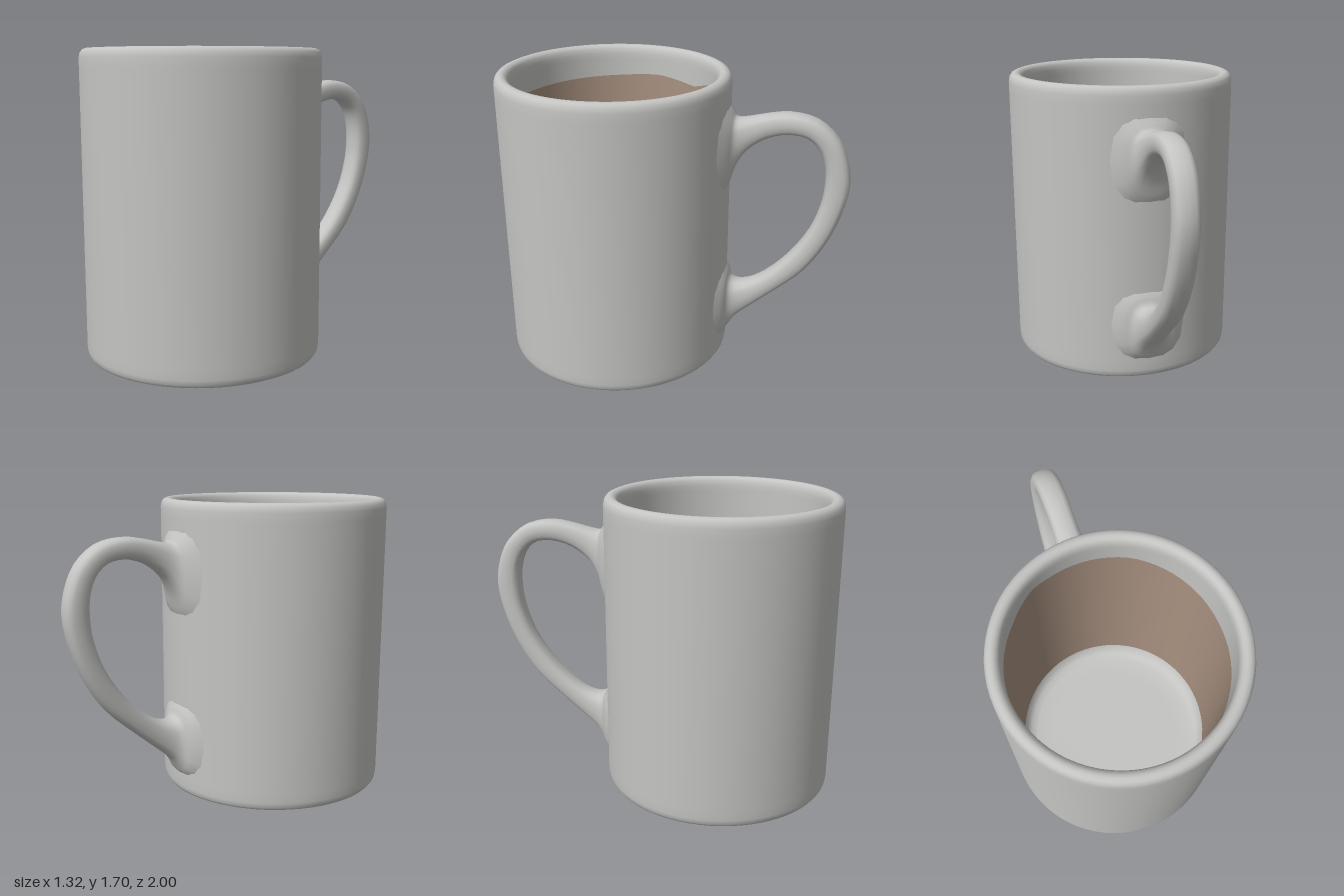
import * as THREE from 'three';

const BODY_Z = 0.34; // axis of the cup, shifted forward to balance the handle
const INNER_R = 0.578;
const SEGMENTS = 72;

// Height of the drink stain on the inner wall: [degrees from +z towards +x, y]
const STAIN = [[0, 1.5], [31, 1.45], [51, 1.4], [94, 1.42], [153, 1.515], [179, 1.52], [199, 1.53],
  [211, 1.56], [231, 1.5], [258, 1.53], [282, 1.515], [333, 1.5], [360, 1.5]];

function stainHeight(deg) {
  const k = Math.max(1, STAIN.findIndex(p => p[0] >= deg - 1e-6));
  const [a, ya] = STAIN[k - 1], [b, yb] = STAIN[k];
  return THREE.MathUtils.lerp(ya, yb, (deg - a) / (b - a));
}

function lathe(points) {
  return new THREE.LatheGeometry(points.map(p => new THREE.Vector2(...p)), SEGMENTS);
}

// Inner wall band whose vertex row `row` follows the stain line
function wallBand(yStart, yEnd, row) {
  const geometry = lathe([[INNER_R, yStart], [INNER_R, yEnd]]);
  const pos = geometry.attributes.position;
  for (let i = 0; i <= SEGMENTS; i++) pos.setY(i * 2 + row, stainHeight(i * 360 / SEGMENTS));
  return geometry;
}

// Handle sections: outer z, outer y, inner z, inner y, half width
const HANDLE = [
  [-0.28, 1.60, -0.28, 1.00, 0.22], [-0.335, 1.51, -0.325, 1.08, 0.15],
  [-0.36, 1.475, -0.36, 1.19, 0.105], [-0.42, 1.48, -0.42, 1.29, 0.08],
  [-0.53, 1.505, -0.53, 1.37, 0.07], [-0.65, 1.52, -0.65, 1.40, 0.07],
  [-0.80, 1.49, -0.75, 1.385, 0.07], [-0.92, 1.39, -0.82, 1.32, 0.07],
  [-0.98, 1.26, -0.855, 1.22, 0.07], [-1.0, 1.13, -0.86, 1.10, 0.07],
  [-0.975, 0.97, -0.845, 0.99, 0.07], [-0.90, 0.77, -0.79, 0.83, 0.07],
  [-0.78, 0.58, -0.68, 0.66, 0.07], [-0.62, 0.43, -0.55, 0.53, 0.07],
  [-0.48, 0.31, -0.46, 0.475, 0.075], [-0.39, 0.23, -0.39, 0.46, 0.09],
  [-0.35, 0.17, -0.35, 0.475, 0.115], [-0.325, 0.13, -0.33, 0.52, 0.16],
  [-0.28, 0.08, -0.28, 0.60, 0.22],
];

function handleGeometry() {
  const outer = new THREE.CatmullRomCurve3(HANDLE.map(s => new THREE.Vector3(s[4], s[1], s[0])));
  const inner = new THREE.CatmullRomCurve3(HANDLE.map(s => new THREE.Vector3(s[4], s[3], s[2])));
  const rings = 54, sides = 16, positions = [], index = [];
  const soften = v => Math.sign(v) * Math.abs(v) ** 0.75; // slightly squared oval
  for (let i = 0; i <= rings; i++) {
    const o = outer.getPoint(i / rings), n = inner.getPoint(i / rings);
    for (let j = 0; j < sides; j++) {
      const a = j / sides * Math.PI * 2;
      const t = 0.5 + 0.5 * soften(Math.cos(a));
      positions.push(o.x * soften(Math.sin(a)), n.y + (o.y - n.y) * t, n.z + (o.z - n.z) * t);
      if (i === rings) continue;
      const p = i * sides + j, q = i * sides + (j + 1) % sides;
      index.push(p, q, p + sides, q, q + sides, p + sides);
    }
  }
  const geometry = new THREE.BufferGeometry();
  geometry.setAttribute('position', new THREE.Float32BufferAttribute(positions, 3));
  geometry.setIndex(index);
  geometry.computeVertexNormals();
  return geometry;
}

export function createModel() {
  const ceramic = new THREE.MeshStandardMaterial({ color: 0xc4c4c2 });
  ceramic.name = 'greyCeramic';
  const drink = new THREE.MeshStandardMaterial({ color: 0xa89180 });
  drink.name = 'brownDrink';

  const group = new THREE.Group();
  group.name = 'mug';
  const add = (name, geometry, material, z = 0) => {
    const mesh = new THREE.Mesh(geometry, material);
    mesh.name = name;
    mesh.position.z = z;
    group.add(mesh);
  };

  // Base, outer wall and rounded rim
  add('cupBody', lathe([[0, 0], [0.615, 0], [0.63, 0.002], [0.645, 0.009], [0.656, 0.025], [0.66, 0.05],
    [0.66, 0.1], [0.66, 1.6], [0.66, 1.65], [0.654, 1.677], [0.642, 1.693], [0.625, 1.7], [0.61, 1.7],
    [0.595, 1.693], [0.583, 1.678], [INNER_R, 1.65], [INNER_R, 1.62]]), ceramic, BODY_Z);

  // Inside: clean upper wall, stained lower wall, rounded floor
  add('upperInnerWall', wallBand(1.62, 1.5, 1), ceramic, BODY_Z);
  add('stainedInnerWall', wallBand(1.5, 0.18, 0), drink, BODY_Z);
  add('innerFloor', lathe([[INNER_R, 0.18], [0.565, 0.14], [0.54, 0.115], [0.5, 0.1], [0.4, 0.095], [0, 0.095]]),
    ceramic, BODY_Z);

  // Handle flaring into the back wall
  add('handle', handleGeometry(), ceramic);
  return group;
}
